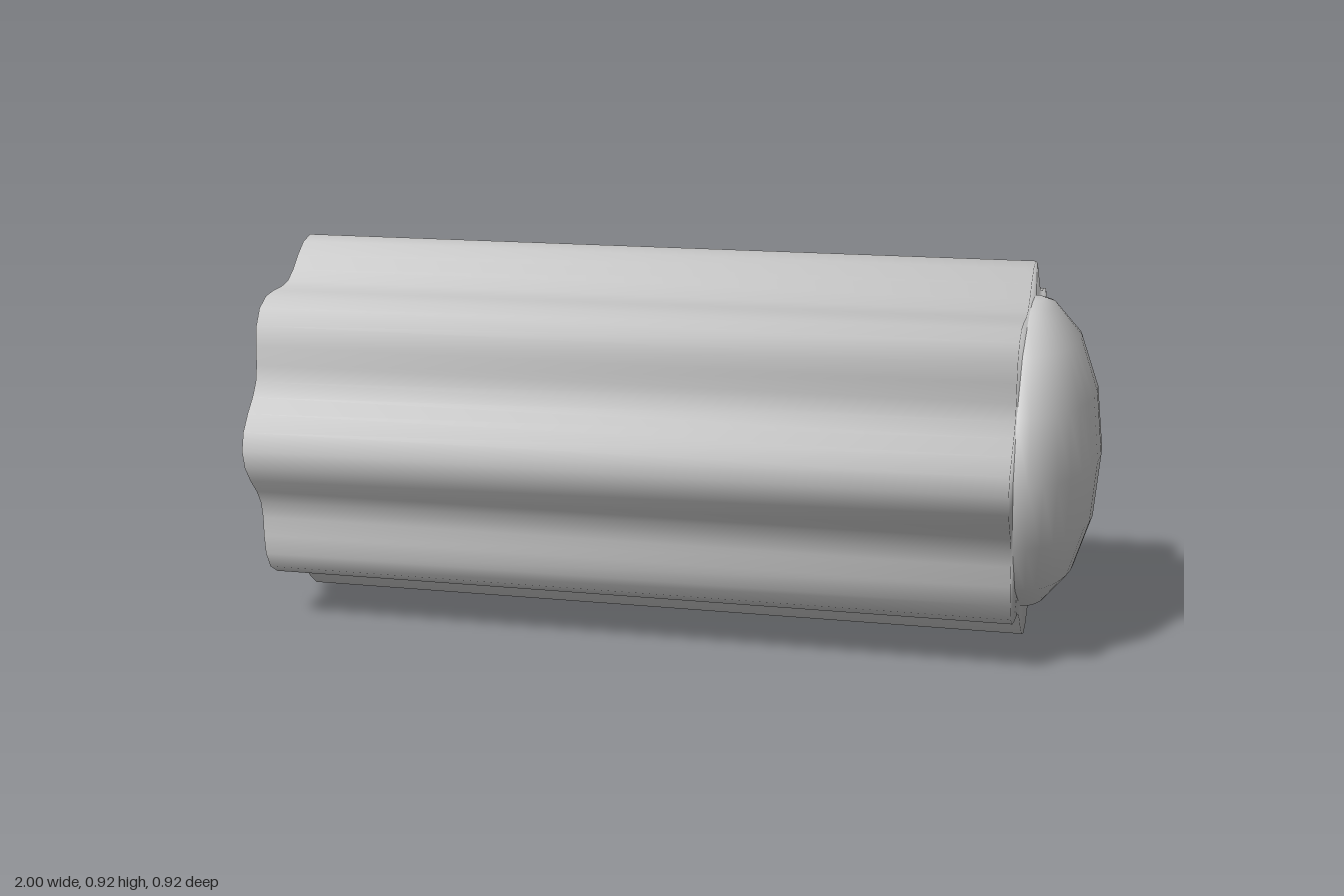
import * as THREE from 'three';
import { mergeVertices } from 'three/addons/utils/BufferGeometryUtils.js';

const AXIS_Y = 0.46, END = 0.83, RADIUS = 0.4265, WAVE = 0.0325, HOLE = 0.17;

const gray = new THREE.MeshStandardMaterial({ color: 0xc8c8c8 });
gray.name = 'light gray';

// Bar with eight rounded ridges and a blind bore in its right end
function flutedBody() {
  const profile = [
    [0, -0.4], [HOLE, -0.4], [HOLE, -1], [RADIUS, -1], [RADIUS, END], [0, END],
  ].map(([r, h]) => new THREE.Vector2(r, h));
  let geo = new THREE.LatheGeometry(profile, 64);
  geo.deleteAttribute('normal');
  geo.deleteAttribute('uv');

  // Ripple only the outer rings
  let pos = geo.attributes.position;
  const isOuter = (x, z) => Math.hypot(x, z) > 0.3;
  for (let i = 0; i < pos.count; i++) {
    const x = pos.getX(i), z = pos.getZ(i);
    if (!isOuter(x, z)) continue;
    const a = Math.atan2(z, x);
    const r = RADIUS + WAVE * Math.cos(8 * a);
    pos.setXYZ(i, r * Math.cos(a), pos.getY(i), r * Math.sin(a));
  }
  geo = mergeVertices(geo, 1e-4);
  geo.computeVertexNormals();

  // Soften the shading over the end rims
  pos = geo.attributes.position;
  const nor = geo.attributes.normal, n = new THREE.Vector3();
  for (let i = 0; i < pos.count; i++) {
    if (!isOuter(pos.getX(i), pos.getZ(i))) continue;
    n.fromBufferAttribute(nor, i);
    n.y += Math.sign(pos.getY(i)) * 0.3;
    n.normalize();
    nor.setXYZ(i, n.x, n.y, n.z);
  }
  geo.rotateZ(-Math.PI / 2);
  return geo;
}

// Flattened half ellipsoid facing +x
function domeCap() {
  const r = 0.373;
  const profile = [-90, -82, -72, -48, -24, 0, 24, 48, 72, 82, 90].map((deg) => {
    const a = THREE.MathUtils.degToRad(deg);
    return new THREE.Vector2(Math.max(0, r * Math.cos(a)), r * Math.sin(a));
  });
  const geo = new THREE.LatheGeometry(profile, 16, 0, Math.PI);
  geo.scale(0.17 / r, 1, 1);
  return geo;
}

export function createModel() {
  const model = new THREE.Group();
  model.name = 'flutedRod';

  const body = new THREE.Mesh(flutedBody(), gray);
  body.name = 'flutedBody';
  body.position.y = AXIS_Y;

  const dome = new THREE.Mesh(domeCap(), gray);
  dome.name = 'domeCap';
  dome.position.set(END, AXIS_Y, 0);

  model.add(body, dome);
  return model;
}
